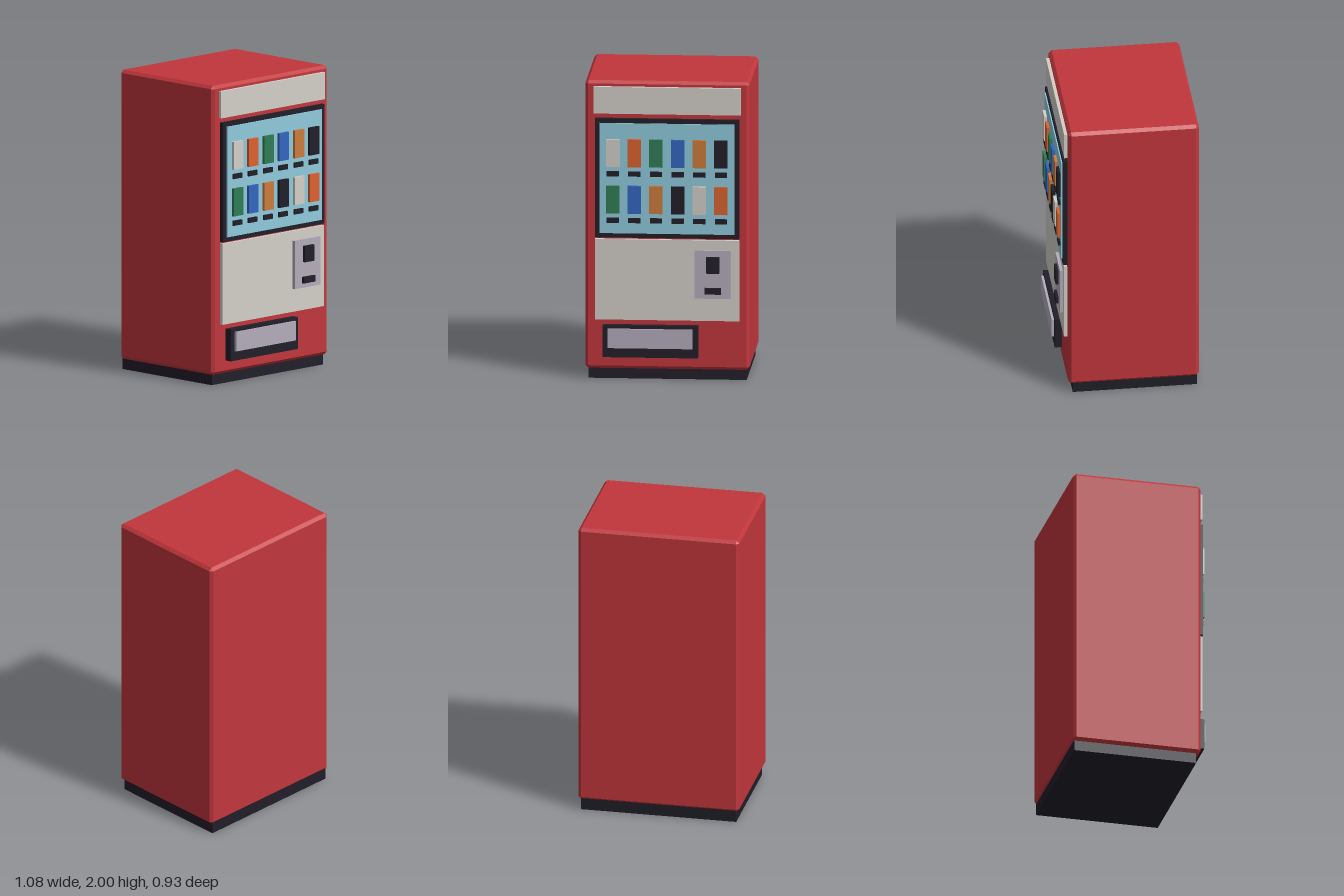
import * as THREE from 'three';
import { ConvexGeometry } from 'three/addons/geometries/ConvexGeometry.js';

const COLORS = {
  red: 0xc1363c, cream: 0xd3cfc8, black: 0x211e28, glass: 0x8fcadd, grey: 0xb3acbb,
  orange: 0xdc6230, green: 0x2f7d54, blue: 0x3366c0, tan: 0xcc7b3c,
};
const materials = {};
for (const key in COLORS) {
  materials[key] = new THREE.MeshStandardMaterial({ color: COLORS[key], flatShading: true });
}

// Box given by its limits on each axis
function box(name, color, [x0, x1], [y0, y1], [z0, z1]) {
  const mesh = new THREE.Mesh(new THREE.BoxGeometry(x1 - x0, y1 - y0, z1 - z0), materials[color]);
  mesh.position.set((x0 + x1) / 2, (y0 + y1) / 2, (z0 + z1) / 2);
  mesh.name = name;
  return mesh;
}

// Box with every edge cut by a flat chamfer c
function chamferedBox(w, h, d, c) {
  const points = [];
  for (const sx of [-1, 1]) for (const sy of [-1, 1]) for (const sz of [-1, 1]) {
    for (let axis = 0; axis < 3; axis++) {
      const inset = [c, c, c];
      inset[axis] = 0;
      points.push(new THREE.Vector3(
        sx * (w / 2 - inset[0]), sy * (h / 2 - inset[1]), sz * (d / 2 - inset[2])));
    }
  }
  return new ConvexGeometry(points);
}

export function createModel() {
  const model = new THREE.Group();
  model.name = 'vendingMachine';

  // Cabinet and plinth
  const cabinet = new THREE.Mesh(chamferedBox(1.08, 1.93, 0.864, 0.02), materials.red);
  cabinet.name = 'cabinet';
  cabinet.position.set(0, 1.035, -0.034);
  model.add(cabinet);
  model.add(box('plinth', 'black', [-0.52, 0.52], [0, 0.08], [-0.455, 0.367]));

  // Front panels
  model.add(box('signPanel', 'cream', [-0.485, 0.485], [1.783, 1.963], [0.38, 0.42]));
  model.add(box('lowerPanel', 'cream', [-0.475, 0.475], [0.403, 0.943], [0.38, 0.42]));

  // Display window
  model.add(box('windowFrame', 'black', [-0.475, 0.475], [0.955, 1.752], [0.38, 0.426]));
  model.add(box('windowGlass', 'glass', [-0.443, 0.443], [0.985, 1.723], [0.41, 0.434]));

  // Two shelves of drinks, each with a button below
  const shelves = [
    { y: 1.433, drinks: ['cream', 'orange', 'green', 'blue', 'tan', 'black'] },
    { y: 1.121, drinks: ['green', 'blue', 'tan', 'black', 'cream', 'orange'] },
  ];
  shelves.forEach(({ y, drinks }, row) => {
    const shelf = new THREE.Group();
    shelf.name = `shelf${row + 1}`;
    drinks.forEach((color, i) => {
      const x = (i - 2.5) * 0.1425;
      shelf.add(box(`drink${i + 1}`, color, [x - 0.044, x + 0.044], [y, y + 0.185], [0.425, 0.453]));
      shelf.add(box(`button${i + 1}`, 'black', [x - 0.04, x + 0.04], [y - 0.064, y - 0.031], [0.425, 0.447]));
    });
    model.add(shelf);
  });

  // Payment unit
  const payment = new THREE.Group();
  payment.name = 'paymentUnit';
  payment.add(
    box('paymentPlate', 'grey', [0.182, 0.42], [0.556, 0.878], [0.41, 0.44]),
    box('coinSlot', 'black', [0.259, 0.346], [0.728, 0.836], [0.43, 0.459]),
    box('coinReturn', 'black', [0.248, 0.357], [0.588, 0.63], [0.43, 0.459]));
  model.add(payment);

  // Collection tray
  const tray = new THREE.Group();
  tray.name = 'collectionTray';
  tray.add(
    box('trayFrame', 'black', [-0.422, 0.204], [0.156, 0.369], [0.38, 0.447]),
    box('trayFlap', 'grey', [-0.388, 0.169], [0.22, 0.349], [0.43, 0.463]));
  model.add(tray);

  return model;
}
